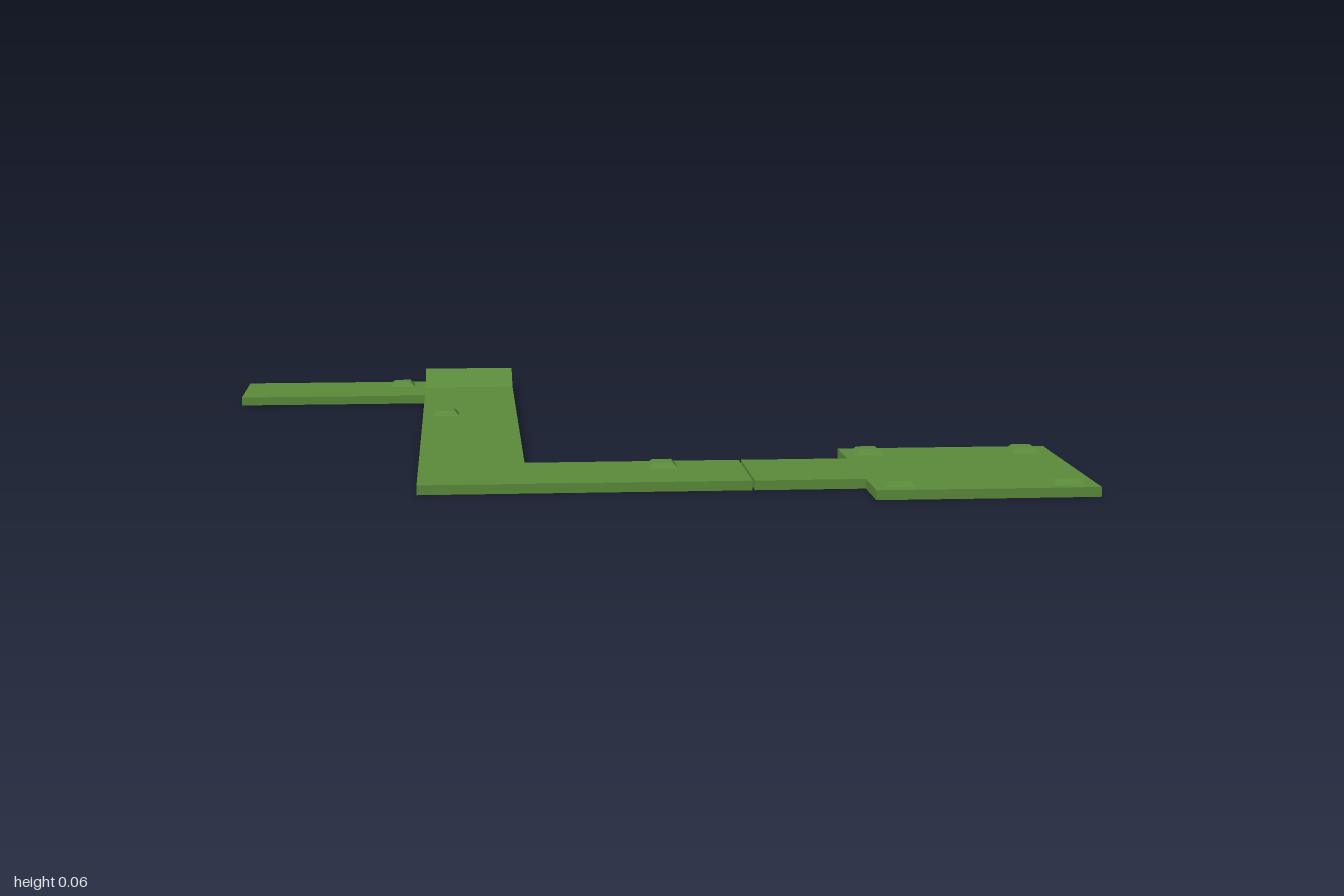
import * as THREE from 'three';

const T = 0.022; // deck thickness

export function createModel() {
  const model = new THREE.Group();
  model.name = 'walkway';
  const green = new THREE.MeshStandardMaterial({ color: 0x5c8c3c, flatShading: true });
  green.name = 'moss green';

  // Flat deck panels, given by their plan rectangles
  const panel = (name, x0, x1, z0, z1) => {
    const mesh = new THREE.Mesh(new THREE.BoxGeometry(x1 - x0, T, z1 - z0), green);
    mesh.position.set((x0 + x1) / 2, T / 2, (z0 + z1) / 2);
    mesh.name = name;
    model.add(mesh);
  };
  panel('squarePlatform', 0.5, 1, 0.315, 0.813);
  panel('frontWalkEnd', 0.25, 0.5, 0.44, 0.687);
  panel('frontWalk', -0.255, 0.245, 0.44, 0.687);
  panel('longWalk', -0.5, -0.255, -0.71, 0.687);
  panel('backPlatform', -1, -0.5, -0.813, -0.56);

  // Tilted plate at the back end of the long walk
  const profile = new THREE.Shape([
    [0.695, 0], [0.72, 0], [0.815, 0.041], [0.807, 0.06], [0.7, T],
  ].map(([z, y]) => new THREE.Vector2(z, y)));
  const ramp = new THREE.Mesh(
    new THREE.ExtrudeGeometry(profile, { depth: 0.245, bevelEnabled: false }), green);
  ramp.rotation.y = Math.PI / 2; // profile runs toward -z
  ramp.position.x = -0.5;
  ramp.name = 'ramp';
  model.add(ramp);

  // Raised studs: low square frustums
  const studGeometry = new THREE.CylinderGeometry(0.022 * Math.SQRT2, 0.035 * Math.SQRT2, 0.013, 4);
  studGeometry.rotateY(Math.PI / 4);
  const spots = [
    [-0.565, -0.75], [-0.44, -0.25], [0.06, 0.5],
    [0.56, 0.375], [0.935, 0.375], [0.56, 0.75], [0.935, 0.75],
  ];
  for (const [x, z] of spots) {
    const stud = new THREE.Mesh(studGeometry, green);
    stud.position.set(x, T + 0.0055, z);
    stud.name = 'stud';
    model.add(stud);
  }
  return model;
}
